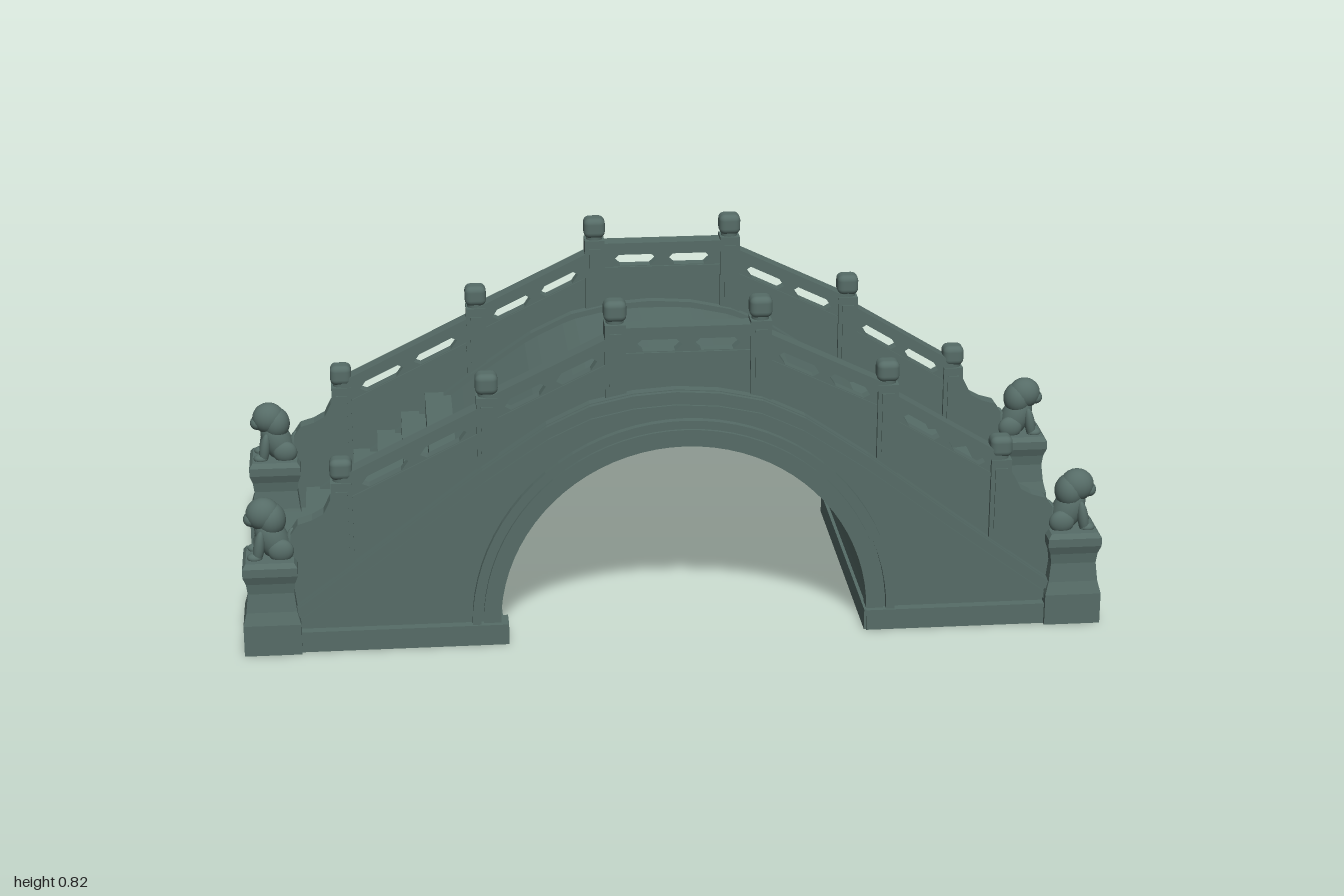
import * as THREE from 'three';
import { RoundedBoxGeometry } from 'three/addons/geometries/RoundedBoxGeometry.js';

export function createModel() {
  const bridge = new THREE.Group();
  bridge.name = 'archedBridge';
  const stone = new THREE.MeshStandardMaterial({ color: 0x566c67 });
  stone.name = 'greyGreenStone';

  const add = (name, geometry, x = 0, y = 0, z = 0, parent = bridge) => {
    const mesh = new THREE.Mesh(geometry, stone);
    mesh.name = name;
    mesh.position.set(x, y, z);
    parent.add(mesh);
    return mesh;
  };
  const poly = pts => new THREE.Shape(pts.map(p => new THREE.Vector2(p[0], p[1])));
  // Extrude a front-view outline between two depths; side -1 puts it on the back
  const slab = (name, shape, z0, z1, side = 1) => {
    const geo = new THREE.ExtrudeGeometry(shape, { depth: z1 - z0, bevelEnabled: false, curveSegments: 40 });
    return add(name, geo, 0, 0, side > 0 ? z0 : -z1);
  };
  const range = (a, b, n) => Array.from({ length: n + 1 }, (_, i) => a + (b - a) * i / n);

  // Height of the kerb: straight ramps that round over at the crown
  const kerbPts = [[0, 0.612], [0.1, 0.605], [0.2, 0.583], [0.3, 0.535], [0.45, 0.432], [0.65, 0.277], [0.9, 0.09]];
  const kerbY = x => {
    const a = Math.abs(x);
    let i = 0;
    while (i < kerbPts.length - 2 && a > kerbPts[i + 1][0]) i++;
    const [p, q] = [kerbPts[i], kerbPts[i + 1]];
    return p[1] + (q[1] - p[1]) * (a - p[0]) / (q[0] - p[0]);
  };
  const strip = (x0, x1, hi, lo, n = 36) => {
    const xs = range(x0, x1, n);
    return poly([...xs.map(x => [x, kerbY(x) - lo]), ...xs.reverse().map(x => [x, kerbY(x) - hi])]);
  };

  // Arch centre and ring outlines
  const cx = 0.02, cy = 0.045;
  const arc = (r, a0, a1, n = 40) => range(a0, a1, n).map(a => [cx + r * Math.cos(a), cy + r * Math.sin(a)]);
  const ring = (r0, r1) => poly([...arc(r1, 0, Math.PI), ...arc(r0, Math.PI, 0)]);

  slab('archBarrel', ring(0.43, 0.455), -0.345, 0.345);

  // Curved deck
  const deckY = x => Math.min(0.595, kerbY(x) - 0.014);
  const deckXs = range(-0.5, 0.5, 32);
  slab('deck', poly([...deckXs.map(x => [x, deckY(x) - 0.035]),
    ...deckXs.reverse().map(x => [x, deckY(x)])]), -0.3, 0.3);

  // Stepped shells at both ends
  const count = 8, run = 0.06, rise = 0.0475;
  for (const end of [-1, 1]) {
    const top = [], under = [];
    for (let i = 0; i < count; i++) {
      const x = 0.98 - run * i, y = 0.05 + rise * i;
      top.push([end * x, i ? y - rise : 0], [end * x, y]);
      under.push([end * (x - 0.025), i ? y - rise - 0.02 : 0], [end * (x - 0.025), y - 0.02]);
    }
    top.push([end * 0.485, 0.3825]);
    under.push([end * 0.485, 0.3625]);
    slab('steps', poly([...top, ...under.reverse()]), -0.3, 0.3);
    // Footing across the foot of the arch
    add('archFooting', new THREE.BoxGeometry(0.06, 0.05, 0.72), cx + end * 0.452, 0.025, 0);
  }

  const postXs = [-0.765, -0.43, -0.137, 0.195, 0.49, 0.76];
  const postTops = [0.46, 0.655, 0.82, 0.82, 0.655, 0.46];
  // Handrail heights at the start and end of each bay
  const railYs = [[0.42, 0.585], [0.60, 0.742], [0.757, 0.757], [0.742, 0.60], [0.585, 0.42]];

  for (const side of [-1, 1]) {
    // Spandrel wall cut by the arch
    const wallXs = range(-0.9, 0.9, 48);
    slab('spandrelWall', poly([[-0.9, 0], [cx - 0.45, 0], ...arc(0.45, Math.PI, 0), [cx + 0.45, 0], [0.9, 0],
      ...wallXs.reverse().map(x => [x, kerbY(x) - 0.01])]), 0.32, 0.343, side);

    // Arch stones and raised moulding
    slab('archRing', ring(0.428, 0.468), 0.31, 0.352, side);
    slab('archMoulding', ring(0.474, 0.494), 0.335, 0.36, side);

    // Kerb and its cornice
    slab('kerb', strip(-0.89, 0.89, 0, 0.052), 0.275, 0.35, side);
    slab('kerbUpperMoulding', strip(-0.89, 0.89, 0.002, 0.026), 0.34, 0.362, side);
    slab('kerbLowerMoulding', strip(-0.88, 0.88, 0.036, 0.054), 0.34, 0.356, side);

    // Plinths
    for (const [x0, x1] of [[-0.95, -0.39], [0.447, 0.95]])
      add('plinth', new THREE.BoxGeometry(x1 - x0, 0.05, 0.055), (x0 + x1) / 2, 0.025, side * 0.3375);

    // Balustrade posts with rounded caps
    postXs.forEach((x, i) => {
      const base = kerbY(x) - 0.04, top = postTops[i], h = top - 0.055 - base;
      add('post', new THREE.BoxGeometry(0.048, h, 0.05), x, base + h / 2, side * 0.312);
      add('postNeck', new THREE.CylinderGeometry(0.02, 0.02, 0.02, 16), x, top - 0.053, side * 0.312);
      add('postCap', new RoundedBoxGeometry(0.052, 0.05, 0.05, 3, 0.015), x, top - 0.025, side * 0.312);
      for (const face of [-1, 1])
        add('postPanel', new THREE.BoxGeometry(0.028, h * 0.6, 0.006), x, top - 0.075 - h * 0.3, side * 0.312 + face * 0.026);
    });

    // Pierced panels and handrails
    railYs.forEach(([ya, yb], i) => {
      const xa = postXs[i], xb = postXs[i + 1];
      const at = t => [xa + (xb - xa) * t, ya + (yb - ya) * t];
      const drop = (t, d) => [at(t)[0], at(t)[1] - d];
      const panel = poly([...range(0, 1, 10).map(t => [at(t)[0], kerbY(at(t)[0]) - 0.02]), at(1), at(0)]);
      for (const [t0, t1] of [[0.14, 0.46], [0.54, 0.86]])
        panel.holes.push(poly([drop(t0, 0.045), drop(t0 + 0.04, 0.032), drop(t1 - 0.04, 0.032),
          drop(t1, 0.045), drop(t1 - 0.05, 0.06), drop(t0 + 0.05, 0.06)]));
      slab('balustradePanel', panel, 0.298, 0.326, side);
      slab('handrail', poly([drop(0, 0.028), drop(1, 0.028), at(1), at(0)]), 0.29, 0.334, side);
      slab('lowerRail', poly([drop(0.03, 0.08), drop(0.97, 0.08), drop(0.97, 0.062), drop(0.03, 0.062)]), 0.293, 0.331, side);
    });

    for (const end of [-1, 1]) {
      // Scrolled end of the balustrade
      slab('scrollEnd', poly([[0.75, 0.18], [0.885, 0.08], [0.885, 0.28], [0.868, 0.305], [0.835, 0.315],
        [0.808, 0.33], [0.792, 0.362], [0.75, 0.4]].map(([x, y]) => [end * x, y])), 0.292, 0.332, side);

      // Waisted pedestal
      const r2 = Math.SQRT2;
      const profile = [[0, 0], [0.066, 0], [0.066, 0.075], [0.058, 0.105], [0.053, 0.15], [0.056, 0.175],
        [0.063, 0.195], [0.063, 0.215], [0.055, 0.226], [0, 0.228]];
      const ped = new THREE.LatheGeometry(profile.map(([r, y]) => new THREE.Vector2(r * r2, y)), 4)
        .rotateY(Math.PI / 4).toNonIndexed();
      ped.computeVertexNormals();
      add('pedestal', ped, end * 0.934, 0, side * 0.31);

      // Seated lion looking outward along the bridge
      const lion = new THREE.Group();
      lion.name = 'guardianLion';
      lion.position.set(end * 0.934, 0.22, side * 0.308);
      if (end < 0) lion.rotation.y = Math.PI;
      bridge.add(lion);
      const blob = (name, x, y, z, sx, sy, sz, tilt = 0) => {
        const m = add(name, new THREE.SphereGeometry(1, 20, 14).scale(sx, sy, sz), x, y, z, lion);
        m.rotation.z = tilt;
      };
      blob('lionBody', -0.008, 0.045, 0, 0.036, 0.06, 0.036, -0.45);
      blob('lionHead', 0.012, 0.106, 0, 0.04, 0.039, 0.034);
      blob('lionMane', -0.006, 0.092, 0, 0.034, 0.04, 0.036);
      blob('lionMuzzle', 0.04, 0.094, 0, 0.018, 0.017, 0.021);
      blob('lionTail', -0.048, 0.035, 0, 0.014, 0.035, 0.014, 0.2);
      for (const s of [-1, 1]) {
        blob('lionHaunch', -0.026, 0.024, s * 0.026, 0.03, 0.028, 0.018);
        blob('lionForeleg', 0.024, 0.032, s * 0.027, 0.013, 0.042, 0.015, 0.15);
        blob('lionPaw', 0.034, 0.01, s * 0.028, 0.018, 0.011, 0.015);
      }
    }
  }
  return bridge;
}
